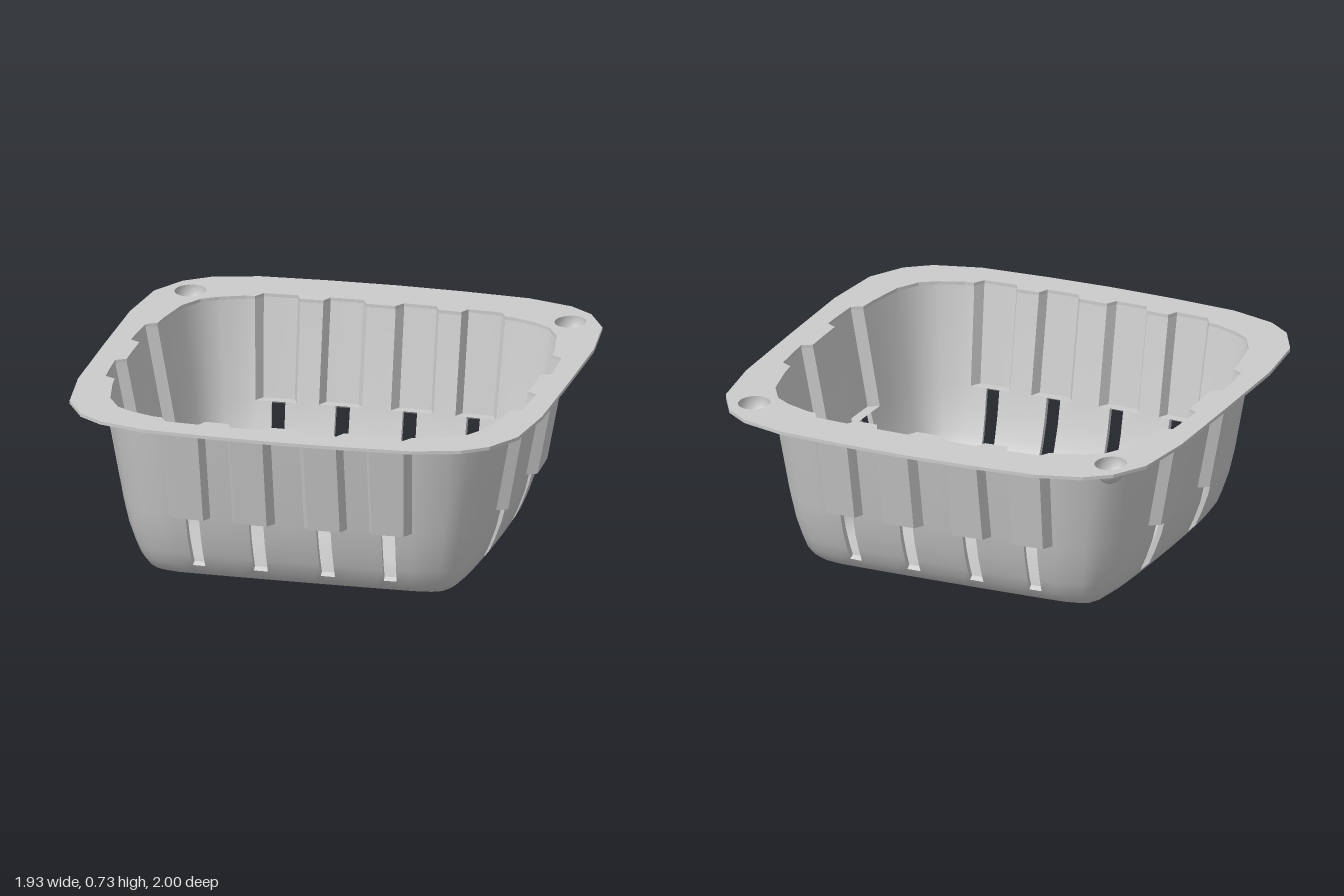
import * as THREE from 'three';
import { toCreasedNormals } from 'three/addons/utils/BufferGeometryUtils.js';

const HX = 0.835, HZ = 0.79;      // half size of the opening
const ZC = 0.04;                  // the tub sits slightly forward under its rim
const WALL = 0.02, FLOOR = 0.012, RIB = 0.042;
const RIM_Y = 0.716, RIM_T = 0.014;

// Mirror a quarter outline (from +z round to +x) into a closed loop
function mirrorLoop(quarter) {
  const back = quarter.slice(0, -1).reverse().map(p => ({ ...p, z: -p.z, dz: -p.dz }));
  const half = [...quarter, ...back];
  const left = half.slice(1, -1).reverse().map(p => ({ ...p, x: -p.x, dx: -p.dx }));
  return [...half, ...left];
}

// Columns of the wall: d marks a rib face, slot marks the edges of a slot
function wallColumns() {
  const front = (x, d = 0, slot = false) =>
    ({ x, z: HZ - 0.018 * (x / 0.53) ** 2, dx: 0, dz: d * RIB, slot });
  const side = (z, d = 0, slot = false) =>
    ({ x: HX - 0.018 * (z / 0.4) ** 2, z, dx: d * RIB, dz: 0, slot });
  const rib = (make, [a, b, s, e, c, f]) =>
    [make(a), make(b, 1), make(s, 1, true), make(e, 1, true), make(c, 1), make(f)];
  const corner = [[0.56, 0.768], [0.66, 0.728], [0.725, 0.685], [0.78, 0.59], [0.812, 0.43]]
    .map(([x, z]) => ({ x, z, dx: 0, dz: 0, slot: false }));
  return mirrorLoop([
    front(0),
    ...rib(front, [0.06, 0.085, 0.11, 0.17, 0.22, 0.24]),
    ...rib(front, [0.335, 0.355, 0.385, 0.445, 0.495, 0.52]),
    ...corner,
    ...rib(side, [0.355, 0.33, 0.275, 0.19, 0.13, 0.105]),
    side(0),
  ]);
}

// Rows of the wall from rim to floor: height, inset, ribbed or not
const ROWS = [
  [RIM_Y, 0, 1], [0.3, 0.08, 1], [0.3, 0.08, 0], [0.2, 0.105, 0], [0.12, 0.135, 0],
  [0.065, 0.16, 0], [0.03, 0.19, 0], [0.01, 0.22, 0], [0, 0.25, 0],
];
const SLOT_TOP = 2, SLOT_END = 5;

function wallPoint(col, r, inner) {
  const [y, inset, ribbed] = ROWS[r];
  const a = inset - (inner ? 0 : WALL);
  const pull = (v, h) => v - Math.sign(v) * a * Math.min(1, Math.abs(v) / h) ** 3;
  return new THREE.Vector3(
    pull(col.x, HX) + ribbed * col.dx,
    y + (inner && r > 0 ? FLOOR : 0),
    pull(col.z, HZ) + ribbed * col.dz + ZC);
}

function tubGeometry(cols) {
  const pos = [];
  const tri = (a, b, c) => {
    const area = b.clone().sub(a).cross(c.clone().sub(a)).length();
    if (area > 1e-7) for (const p of [a, b, c]) pos.push(p.x, p.y, p.z);
  };
  const quad = (a, b, c, d) => { tri(a, b, c); tri(a, c, d); };
  const last = ROWS.length - 1;
  const under = new THREE.Vector3(0, 0, ZC), floor = new THREE.Vector3(0, FLOOR, ZC);

  cols.forEach((L, i) => {
    const R = cols[(i + 1) % cols.length];
    const isSlot = L.slot && R.slot;
    const out = (c, r) => wallPoint(c, r, false), inn = (c, r) => wallPoint(c, r, true);
    for (let r = 0; r < last; r++) {
      if (isSlot && r >= SLOT_TOP && r < SLOT_END) {
        // cut sides of the slot
        quad(out(L, r + 1), inn(L, r + 1), inn(L, r), out(L, r));
        quad(inn(R, r + 1), out(R, r + 1), out(R, r), inn(R, r));
        continue;
      }
      // outer and inner skin
      quad(out(L, r + 1), out(R, r + 1), out(R, r), out(L, r));
      quad(inn(R, r + 1), inn(L, r + 1), inn(L, r), inn(R, r));
    }
    if (isSlot) {
      // cut ends of the slot
      quad(out(L, SLOT_END), out(R, SLOT_END), inn(R, SLOT_END), inn(L, SLOT_END));
      quad(inn(L, SLOT_TOP), inn(R, SLOT_TOP), out(R, SLOT_TOP), out(L, SLOT_TOP));
    }
    // bottom, under and upper side
    tri(under, out(R, last), out(L, last));
    tri(floor, inn(L, last), inn(R, last));
  });
  const geo = new THREE.BufferGeometry();
  geo.setAttribute('position', new THREE.Float32BufferAttribute(pos, 3));
  return toCreasedNormals(geo, 0.62);
}

const CUP = { x: 0.79, z: -0.735, rx: 0.064, rz: 0.075, depth: 0.078 };

function rimGeometry(cols) {
  const outline = mirrorLoop(
    [[0, 1], [0.28, 0.993], [0.56, 0.975], [0.75, 0.92], [0.85, 0.845], [0.932, 0.7], [0.965, 0.43], [0.967, 0]]
      .map(([x, z]) => ({ x, z })));
  const shape = new THREE.Shape(outline.map(p => new THREE.Vector2(p.x, -p.z)));
  // opening that follows the ribs
  shape.holes.push(new THREE.Path(cols.map(c => {
    const p = wallPoint(c, 0, true);
    return new THREE.Vector2(p.x, -p.z);
  })));
  // holes over the cups
  for (const s of [-1, 1]) {
    const hole = new THREE.Path();
    hole.absellipse(s * CUP.x, -CUP.z, CUP.rx, CUP.rz, 0, Math.PI * 2, true);
    shape.holes.push(hole);
  }
  const geo = new THREE.ExtrudeGeometry(shape, { depth: RIM_T, bevelEnabled: false, curveSegments: 10 });
  return geo.rotateX(-Math.PI / 2).translate(0, RIM_Y, 0);
}

export function createModel() {
  const group = new THREE.Group();
  const grey = new THREE.MeshStandardMaterial({ color: 0xcccccc });
  const thin = new THREE.MeshStandardMaterial({ color: 0xcccccc, side: THREE.DoubleSide });
  const add = (name, geo, mat) => {
    const mesh = new THREE.Mesh(geo, mat);
    mesh.name = name;
    group.add(mesh);
    return mesh;
  };
  const cols = wallColumns();
  add('tub', tubGeometry(cols), grey);
  add('rim', rimGeometry(cols), grey);

  // round cups sunk in the back corners of the rim
  for (const [name, s] of [['leftCup', 1], ['rightCup', -1]]) {
    const bowl = new THREE.SphereGeometry(1, 20, 8, 0, Math.PI * 2, Math.PI / 2, Math.PI / 2);
    const cup = add(name, bowl, thin);
    cup.scale.set(CUP.rx, CUP.depth, CUP.rz);
    cup.position.set(s * CUP.x, RIM_Y + 0.008, CUP.z);
  }
  return group;
}
